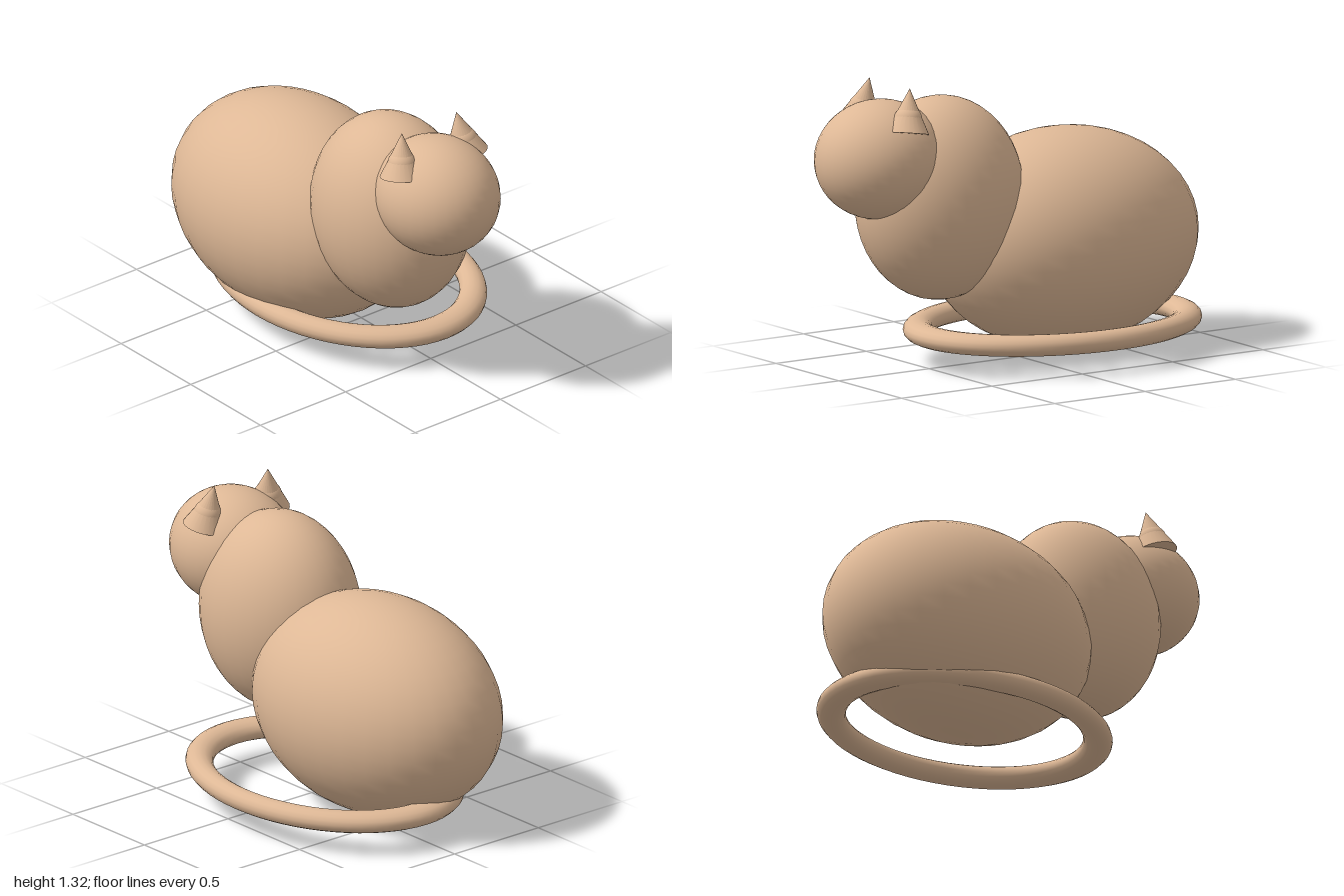
import * as THREE from 'three';

export function createModel() {
  const model = new THREE.Group();
  model.name = 'cat';
  const fur = new THREE.MeshStandardMaterial({ color: 0xdeb896 });
  const midX = -0.12;

  const add = (name, geometry, x, y, z) => {
    const mesh = new THREE.Mesh(geometry, fur);
    mesh.name = name;
    mesh.position.set(x, y, z);
    model.add(mesh);
    return mesh;
  };
  const ellipsoid = (name, x, y, z, rx, ry, rz) =>
    add(name, new THREE.SphereGeometry(1, 32, 24).scale(rx, ry, rz), x, y, z);

  // Body, chest and head
  ellipsoid('body', midX, 0.505, -0.32, 0.48, 0.505, 0.68);
  ellipsoid('chest', midX, 0.76, 0.36, 0.34, 0.47, 0.41);
  ellipsoid('head', midX, 0.973, 0.69, 0.278, 0.275, 0.31);

  // Ears: cones leaning inward and back, with a small round swelling inside
  const up = new THREE.Vector3(0, 1, 0);
  for (const [side, s] of [['left', 1], ['right', -1]]) {
    const base = new THREE.Vector3(midX + s * 0.19, 1.12, 0.67);
    const tip = new THREE.Vector3(midX + s * 0.16, 1.32, 0.635);
    const axis = tip.clone().sub(base);
    const mid = base.clone().addScaledVector(axis, 0.5);
    const ear = add(side + 'Ear', new THREE.ConeGeometry(0.1, axis.length(), 24), mid.x, mid.y, mid.z);
    ear.quaternion.setFromUnitVectors(up, axis.clone().normalize());
    const c = base.clone().addScaledVector(axis, 0.3);
    ellipsoid(side + 'InnerEar', c.x, c.y, c.z, 0.065, 0.065, 0.065);
  }

  // Tail: one stretched ring lying around the body
  const ring = new THREE.TorusGeometry(0.45, 0.05, 16, 64).rotateX(-Math.PI / 2).scale(1.105, 1, 1.47);
  add('tail', ring, 0.047, 0.15, -0.15);

  return model;
}
